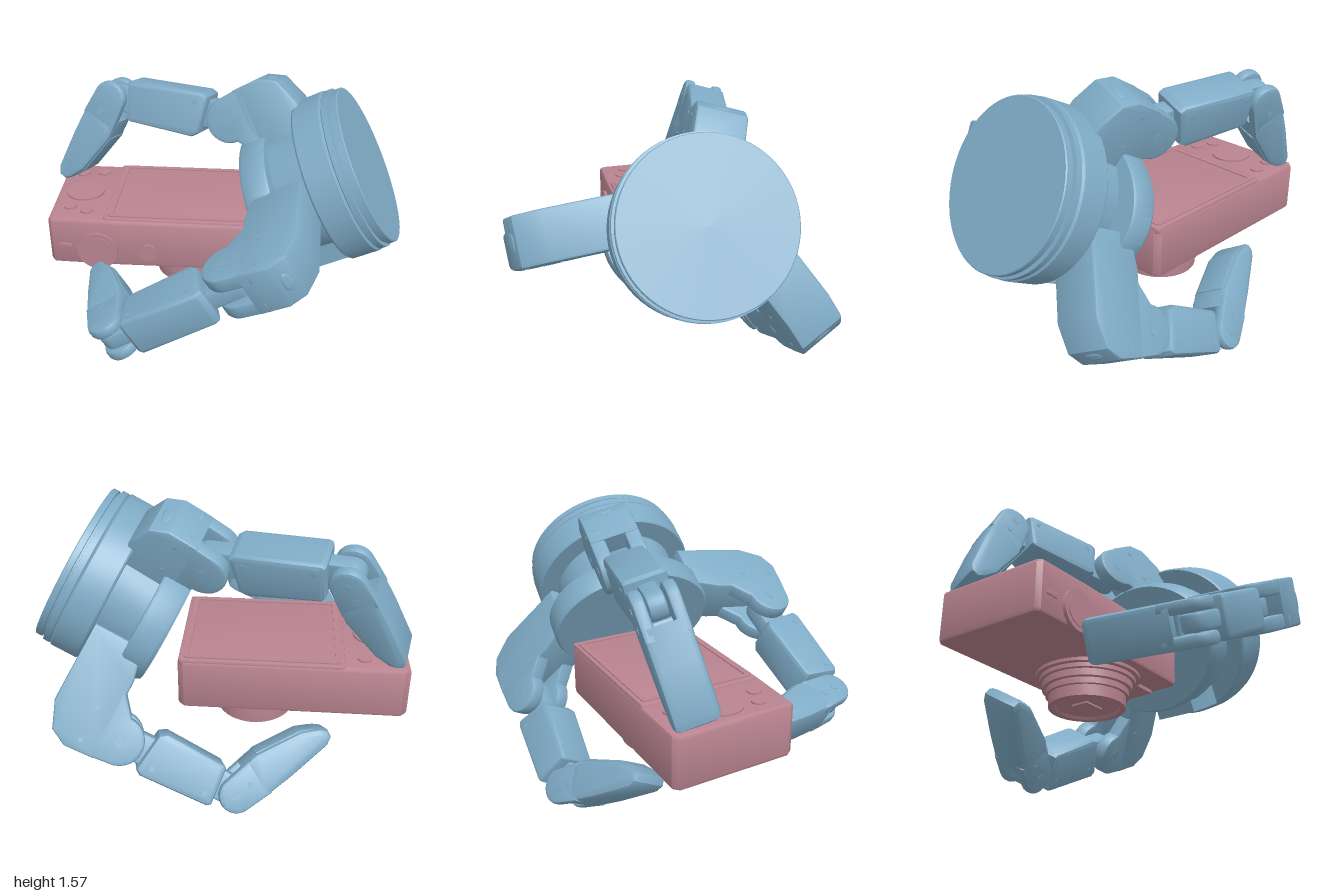
import * as THREE from 'three';
import { toCreasedNormals } from 'three/addons/utils/BufferGeometryUtils.js';

const blue = new THREE.MeshStandardMaterial({ color: 0x7fabc6 });
const pink = new THREE.MeshStandardMaterial({ color: 0xb98490 });

function add(parent, name, geometry, material, x = 0, y = 0, z = 0) {
  const mesh = new THREE.Mesh(toCreasedNormals(geometry, 0.6), material);
  mesh.name = name;
  mesh.position.set(x, y, z);
  parent.add(mesh);
  return mesh;
}

function group(parent, name, x = 0, y = 0, z = 0) {
  const g = new THREE.Group();
  g.name = name;
  g.position.set(x, y, z);
  parent.add(g);
  return g;
}

// Outline in x/y, extruded to a width centred on z, with a small bevel
function prism(points, width, bevel = 0.015) {
  const shape = new THREE.Shape(points.map(([x, y]) => new THREE.Vector2(x, y)));
  return new THREE.ExtrudeGeometry(shape, {
    depth: width - 2 * bevel, bevelEnabled: true, bevelThickness: bevel,
    bevelSize: bevel, bevelOffset: -bevel, bevelSegments: 2,
  }).translate(0, 0, bevel - width / 2);
}

function arc(cx, cy, r, from, to, n = 14) {
  return Array.from({ length: n + 1 }, (_, i) => {
    const a = from + (to - from) * i / n;
    return [cx + r * Math.cos(a), cy + r * Math.sin(a)];
  });
}

// Rectangle with rounded corners
function roundRect(x0, y0, x1, y1, r) {
  const q = Math.PI / 2;
  return [
    ...arc(x1 - r, y0 + r, r, -q, 0, 4), ...arc(x1 - r, y1 - r, r, 0, q, 4),
    ...arc(x0 + r, y1 - r, r, q, 2 * q, 4), ...arc(x0 + r, y0 + r, r, 2 * q, 3 * q, 4),
  ];
}

const lathe = (points, n = 64) =>
  new THREE.LatheGeometry(points.map(([r, y]) => new THREE.Vector2(r, y)), n);

// Cylinder across a finger, along z
const pin = (r, width) => new THREE.CylinderGeometry(r, r, width, 16).rotateX(Math.PI / 2);

// A finger lies in its own x (outward) / y (grip direction) plane
function addFinger(hand, { name, turn, offset, knuckle, middle, tip }) {
  const finger = group(hand, name);
  finger.rotation.y = THREE.MathUtils.degToRad(turn);
  const PI = Math.PI;

  // Knuckle housing: solid block with two cheeks round the first joint
  const base = group(finger, 'knuckleHousing', knuckle[0], knuckle[1], offset);
  add(base, 'housingBlock', prism([
    [-0.47, -0.39], [-0.04, -0.39], [0.1, -0.33], [0.147, -0.24], [0.138, -0.08], [-0.3, -0.08], [-0.47, -0.12],
  ], 0.27), blue);
  for (const s of [-1, 1]) {
    add(base, 'housingCheek', prism([
      [0.142, -0.14], ...arc(0, 0, 0.127, 0, PI), [-0.28, -0.13],
    ], 0.083), blue, 0, 0, s * 0.0935);
  }
  add(base, 'jointPin', pin(0.03, 0.274), blue);
  for (const [x, y] of [[0.08, -0.18], [-0.1, -0.18]]) add(base, 'screw', pin(0.013, 0.275), blue, x, y);
  const cap = add(base, 'ovalCap', new THREE.SphereGeometry(0.055, 20, 10).scale(0.5, 0.12, 1), blue, 0.123, -0.285);
  cap.rotation.z = Math.atan2(0.09, 0.047);

  // Links are placed at a joint and run along their own x, inner side +y
  const link = (label, a, b) => {
    const g = group(finger, label, a[0], a[1], offset);
    g.rotation.z = Math.atan2(b[1] - a[1], b[0] - a[0]);
    return [g, Math.hypot(b[0] - a[0], b[1] - a[1])];
  };

  // Middle link with a tongue at either end
  const [mid, length] = link('middleLink', knuckle, middle);
  const end = length - 0.1;
  add(mid, 'middleBody', prism([
    [0.17, -0.12], [end - 0.02, -0.115], [end, -0.1], [end - 0.01, 0.1], [end - 0.03, 0.115],
    [0.21, 0.135], [0.17, 0.11], [0.14, -0.08], [0.14, -0.1],
  ], 0.225, 0.025), blue);
  add(mid, 'innerTongue', prism([
    ...arc(0, 0, 0.08, PI / 2, 1.5 * PI), [0.2, -0.08], [0.2, 0.08],
  ], 0.105), blue);
  add(mid, 'outerTongue', prism([
    ...arc(length, 0, 0.075, -PI / 2, PI / 2), [end - 0.08, 0.09], [end - 0.08, -0.08],
  ], 0.09), blue);
  for (const x of [0.21, end - 0.06]) add(mid, 'screw', pin(0.016, 0.23), blue, x, -0.06);

  // Fingertip link, forked at the joint and tapering to the tip
  const [far, reach] = link('fingertipLink', middle, tip);
  add(far, 'fingertipBody', prism([
    [0.1, -0.095], [0.3, -0.08], [reach - 0.02, -0.05], [reach + 0.02, -0.025], [reach + 0.025, 0.02],
    [reach - 0.01, 0.05], [reach - 0.1, 0.09], [0.2, 0.125], [0.1, 0.11],
  ], 0.23, 0.03), blue);
  add(far, 'fingertipPad', prism([
    [0.2, 0.05], [reach - 0.03, 0.03], [reach - 0.03, 0.062], [reach - 0.1, 0.096], [0.2, 0.13],
  ], 0.18, 0.01), blue);
  for (const s of [-1, 1]) {
    add(far, 'fingertipCheek', prism([
      ...arc(0, 0, 0.095, PI / 2, 1.5 * PI), [0.16, -0.092], [0.16, 0.118],
    ], 0.065, 0.02), blue, 0, 0, s * 0.0825);
  }
  for (const x of [0, 0.09]) add(far, 'screw', pin(0.02, 0.235), blue, x, 0);
}

function addHand(root) {
  // Hand frame: x up across the palm, y towards the grip
  const hand = group(root, 'hand', 0.797, 1.135, -0.055);
  const up = new THREE.Vector3(-0.462, 0.887, 0).normalize();
  const grip = new THREE.Vector3(-0.884, -0.46, -0.085).normalize();
  const side = new THREE.Vector3().crossVectors(up, grip).normalize();
  hand.quaternion.setFromRotationMatrix(new THREE.Matrix4().makeBasis(up, grip, side));

  add(hand, 'wristDisc', lathe([
    [0, 0], [0.435, 0], [0.44, 0.005], [0.44, 0.035], [0.43, 0.037], [0.43, 0.05], [0.452, 0.052],
    [0.452, 0.085], [0.445, 0.09], [0.458, 0.1], [0.458, 0.245], [0.45, 0.255], [0, 0.255],
  ]), blue);
  add(hand, 'palmCore', new THREE.CylinderGeometry(0.33, 0.35, 0.3, 40), blue, 0, 0.37, 0);
  add(hand, 'palmBlock', new THREE.BoxGeometry(0.36, 0.28, 0.26), blue, -0.25, 0.38, 0.02);
  add(hand, 'palmPad', lathe([
    [0, 0.45], [0.98, 0.45], [1, 0.465], [1, 0.58], [0.97, 0.6], [0, 0.6],
  ]).scale(0.38, 1, 0.46), blue);

  addFinger(hand, { name: 'upperFinger', turn: 18.5, offset: 0, knuckle: [0.508, 0.605], middle: [0.88, 1.22], tip: [0.585, 1.69] });
  addFinger(hand, { name: 'frontFinger', turn: -96, offset: -0.125, knuckle: [0.785, 0.67], middle: [0.875, 1.37], tip: [0.375, 1.546] });
  addFinger(hand, { name: 'lowerFinger', turn: 148, offset: 0.185, knuckle: [0.705, 0.65], middle: [0.68, 1.32], tip: [0.19, 1.588] });
}

function addCamera(root) {
  const camera = group(root, 'camera');
  // Slab lying flat: plan outline given as x, -z
  const slab = (name, pts, y0, y1, bevel) =>
    add(camera, name, prism(pts, y1 - y0, bevel).rotateX(-Math.PI / 2), pink, 0, (y0 + y1) / 2, 0);
  const disc = (name, r, h, x, y, z) =>
    add(camera, name, new THREE.CylinderGeometry(r, r, h, 32), pink, x, y, z);

  slab('cameraBody', [
    [-0.94, -0.145], [-0.6, -0.155], [0.17, -0.15], [0.2, -0.12], [0.2, 0.49], [0.17, 0.52],
    [-0.95, 0.52], [-0.98, 0.49], [-0.96, -0.12],
  ], 0.54, 0.825, 0.02);

  // Screen with a raised frame
  slab('screenPanel', roundRect(-0.65, -0.135, 0.195, 0.515, 0.02), 0.8, 0.835, 0.006);
  const frame = new THREE.Shape(roundRect(-0.625, -0.115, 0.17, 0.495, 0.02).map(p => new THREE.Vector2(...p)));
  frame.holes.push(new THREE.Path(roundRect(-0.6, -0.09, 0.145, 0.47, 0.01).map(p => new THREE.Vector2(...p))));
  add(camera, 'screenFrame', new THREE.ExtrudeGeometry(frame, { depth: 0.008, bevelEnabled: false })
    .rotateX(-Math.PI / 2), pink, 0, 0.833, 0);

  // Dial and buttons beside the screen
  disc('thumbDial', 0.11, 0.02, -0.81, 0.825, -0.18);
  for (const [x, z] of [[-0.86, 0.0], [-0.76, 0.04], [-0.87, -0.4], [-0.75, -0.42]]) {
    disc('button', 0.036, 0.016, x, 0.826, z);
  }

  // Controls on the narrow front edge
  for (const [x, r, d] of [[-0.685, 0.113, 0.03], [-0.685, 0.09, 0.04], [-0.4, 0.05, 0.024]]) {
    disc('edgeDial', r, d, x, 0.64, 0.155).rotation.x = Math.PI / 2;
  }
  add(camera, 'edgeSwitch', prism(roundRect(-0.04, -0.014, 0.04, 0.014, 0.01), 0.02, 0.003), pink, -0.87, 0.66, 0.143);

  // Stepped lens pointing down, with a square shutter in its shallow recess
  add(camera, 'lens', lathe([
    [0, 0.375], [0.165, 0.375], [0.175, 0.36], [0.208, 0.36], [0.21, 0.42], [0.225, 0.422], [0.225, 0.455],
    [0.245, 0.457], [0.245, 0.495], [0.262, 0.497], [0.262, 0.52], [0.285, 0.522], [0.285, 0.56],
  ]), pink, -0.19, 0, -0.18);
  add(camera, 'shutter', new THREE.BoxGeometry(0.13, 0.012, 0.1), pink, -0.19, 0.371, -0.18);
  add(camera, 'lensMount', new THREE.BoxGeometry(0.2, 0.03, 0.36), pink, 0.06, 0.535, -0.18);
}

export function createModel() {
  const root = new THREE.Group();
  root.name = 'robotHandHoldingCamera';
  addHand(root);
  addCamera(root);
  return root;
}
